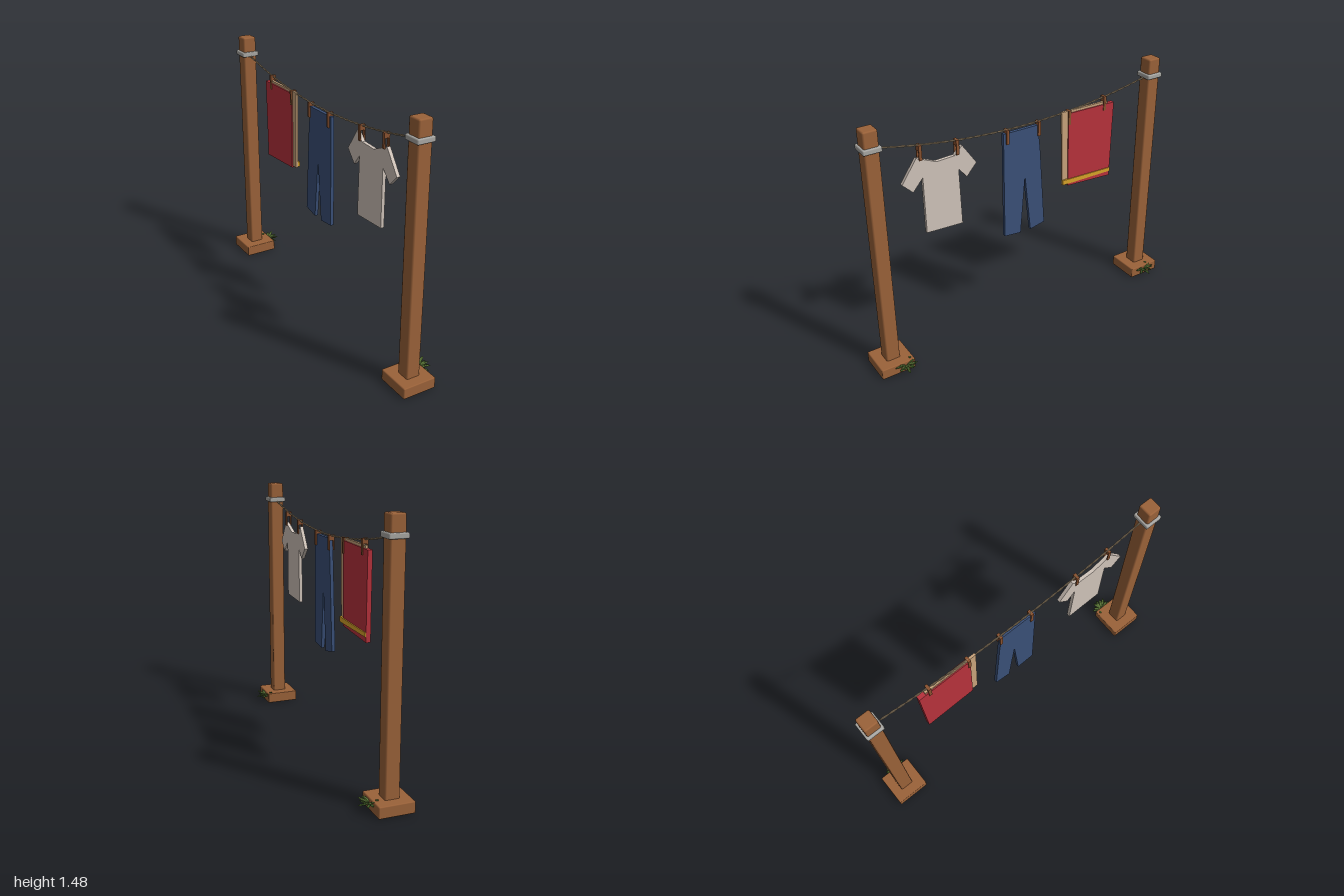
import * as THREE from 'three';
import { RoundedBoxGeometry } from 'three/addons/geometries/RoundedBoxGeometry.js';

const X = -0.035; // plane of the posts and line
const mat = (color, flatShading = false) => {
  const m = new THREE.MeshStandardMaterial({ color });
  m.flatShading = flatShading;
  return m;
};
const wood = mat(0x9b6239), metal = mat(0xa9a8a4), pegWood = mat(0x8a5230);
const ropeMat = mat(0xb09a7a), leafMats = [mat(0x3f5a26, true), mat(0x567034, true)];

const ropeY = (z) => 1.264 + 0.1 * (z / 0.87) ** 2;

export function createModel() {
  const root = new THREE.Group();
  const add = (name, geometry, material, x = 0, y = 0, z = 0, parent = root) => {
    const mesh = new THREE.Mesh(geometry, material);
    mesh.name = name;
    mesh.position.set(x, y, z);
    parent.add(mesh);
    return mesh;
  };
  const block = (name, w, h, d, r, m, x, y, z) =>
    add(name, new RoundedBoxGeometry(w, h, d, 1, r), m, x, y, z);

  // Flat cloth cut from (z, y) outline points, with thickness along x
  const cloth = (name, points, thickness, color, x = X) => {
    const shape = new THREE.Shape(points.map(([z, y]) => new THREE.Vector2(-z, y)));
    const geo = new THREE.ExtrudeGeometry(shape, { depth: thickness, bevelEnabled: false });
    geo.translate(0, 0, -thickness / 2).rotateY(Math.PI / 2);
    return add(name, geo, mat(color), x);
  };

  // Posts with footings and metal collars
  for (const s of [1, -1]) {
    block('footing', 0.2, 0.065, 0.204, 0.006, wood, X, 0.0325, s * 0.898);
    block('post', 0.082, 1.43, 0.082, 0.009, wood, X, 0.762, s * 0.9);
    block('collar', 0.106, 0.03, 0.104, 0.007, metal, X, 1.373, s * 0.9);
  }

  // Sagging line: two twisted strands
  for (const phase of [0, Math.PI]) {
    const pts = [];
    for (let i = 0; i <= 160; i++) {
      const z = -0.87 + (1.74 * i) / 160, a = i * 0.7 + phase;
      pts.push(new THREE.Vector3(X + 0.0028 * Math.cos(a), ropeY(z) + 0.0028 * Math.sin(a), z));
    }
    add('lineStrand', new THREE.TubeGeometry(new THREE.CatmullRomCurve3(pts), 320, 0.0033, 5), ropeMat);
  }

  // Shirt
  cloth('shirt', [
    [0.655, 1.25], [0.745, 1.12], [0.685, 1.06], [0.625, 1.13], [0.622, 0.793], [0.402, 0.783],
    [0.412, 1.12], [0.364, 1.06], [0.302, 1.13], [0.386, 1.253], [0.434, 1.205], [0.54, 1.2],
  ], 0.02, 0xd0c4ba);

  // Trousers
  cloth('trousers', [
    [0.129, 1.248], [0.129, 0.6], [0.021, 0.589], [-0.01, 0.953], [-0.048, 0.589],
    [-0.145, 0.61], [-0.112, 1.1], [-0.096, 1.248],
  ], 0.02, 0x3a5078);

  // Towel over a paler under layer, with a stripe on one side
  cloth('underTowel', [[-0.262, 1.28], [-0.275, 0.812], [-0.6, 0.81], [-0.585, 1.278]], 0.014, 0xc9a47c);
  cloth('towel', [[-0.303, 1.266], [-0.312, 0.803], [-0.62, 0.785], [-0.628, 1.262]], 0.026, 0xb8323c);
  cloth('towelStripe', [[-0.272, 0.848], [-0.274, 0.818], [-0.62, 0.815], [-0.62, 0.838]], 0.012, 0xd9a32a, X + 0.012);

  // Pegs: two legs gripping the cloth, joined at the line
  const pegs = [[0.632, 1.318], [0.415, 1.292], [0.104, 1.268], [-0.102, 1.268], [-0.31, 1.282], [-0.56, 1.312]];
  for (const [z, top] of pegs) {
    const peg = new THREE.Group();
    peg.name = 'peg';
    peg.position.set(X, top, z);
    root.add(peg);
    for (const s of [1, -1]) {
      add('pegLeg', new THREE.BoxGeometry(0.007, 0.085, 0.017), pegWood, s * 0.0135, -0.0425, 0, peg);
    }
    add('pegHead', new THREE.BoxGeometry(0.022, 0.03, 0.017), pegWood, 0, -0.015, 0, peg);
  }

  // Leafy tufts fanning out beside each footing
  for (const [z0, tilt] of [[0.853, 0], [-0.89, 0.12]]) {
    const tuft = new THREE.Group();
    tuft.name = 'tuft';
    tuft.position.set(0.062, 0.042, z0);
    root.add(tuft);
    for (let i = 0; i < 14; i++) {
      const yaw = -1.45 + (2.9 * i) / 13 + tilt;
      const pitch = [0.12, 0.42, -0.1, 0.3][i % 4];
      const length = [0.066, 0.05, 0.058][i % 3];
      const leaf = new THREE.SphereGeometry(1, 6, 4);
      leaf.scale(length / 2, 0.004, 0.009).translate(length / 2 + 0.006, 0, 0);
      const mesh = add('leaf', leaf, leafMats[i % 2], 0, 0, 0, tuft);
      mesh.rotation.set(0, yaw, pitch, 'YXZ');
    }
    // Stray leaf lying on the footing
    const stray = new THREE.SphereGeometry(1, 6, 4).scale(0.01, 0.004, 0.008);
    add('strayLeaf', stray, leafMats[0], -0.02, 0.025, -0.035, tuft);
  }
  return root;
}
